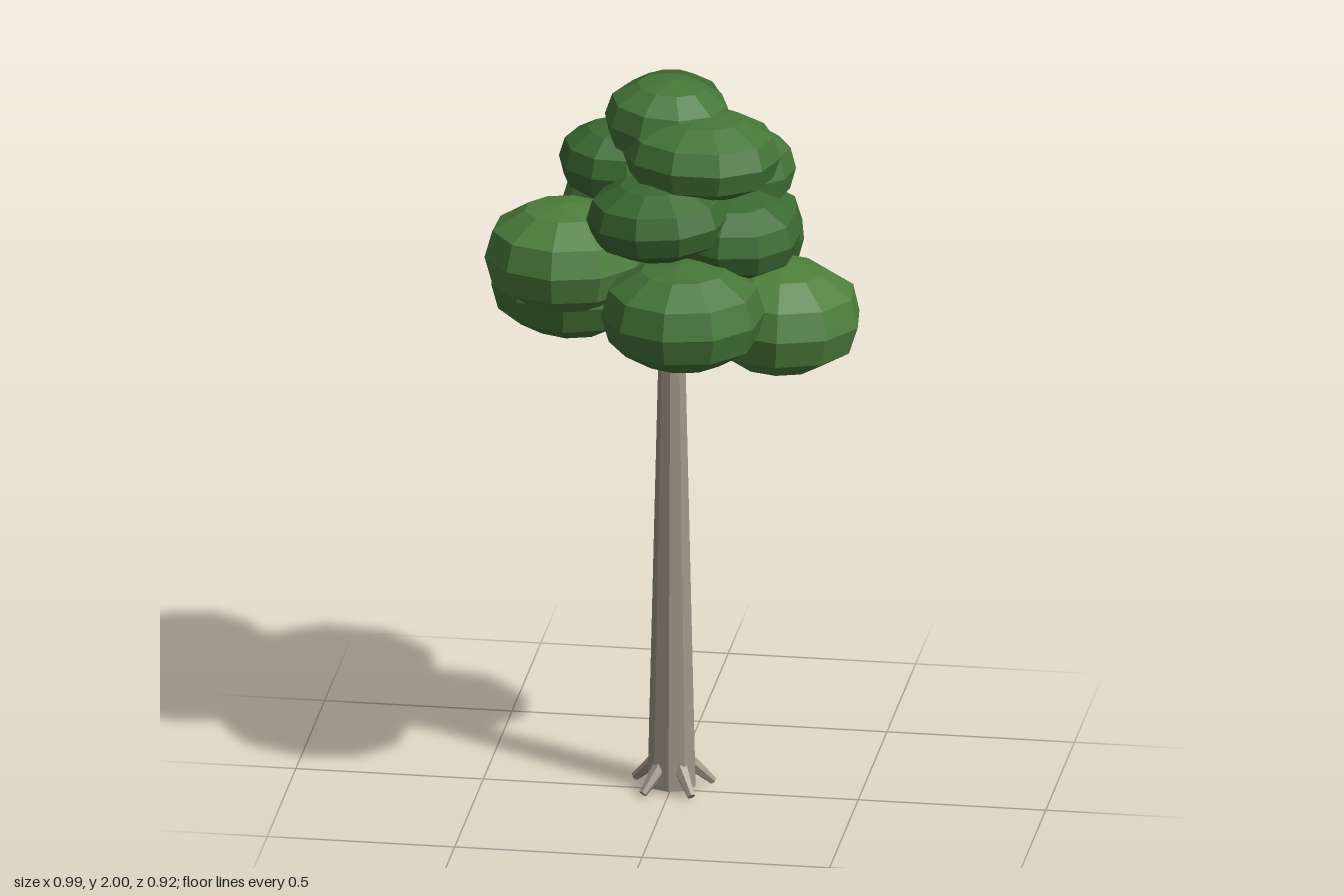
import * as THREE from 'three';

const material = (color) => new THREE.MeshStandardMaterial({ color, flatShading: true });

export function createModel() {
  const tree = new THREE.Group();
  tree.name = 'tree';
  const bark = material(0x9f9688);
  const greens = [material(0x3b6a32), material(0x457638), material(0x4e7f3d)];
  const trunkZ = -0.025;

  const add = (name, geometry, mat) => {
    const mesh = new THREE.Mesh(geometry, mat);
    mesh.name = name;
    tree.add(mesh);
    return mesh;
  };

  // Tapered limb between two points
  const limb = (name, from, to, r0, r1, sides = 6) => {
    const a = new THREE.Vector3(...from), b = new THREE.Vector3(...to);
    const dir = b.clone().sub(a);
    const mesh = add(name, new THREE.CylinderGeometry(r1, r0, dir.length(), sides), bark);
    mesh.position.copy(a).add(b).multiplyScalar(0.5);
    mesh.quaternion.setFromUnitVectors(new THREE.Vector3(0, 1, 0), dir.normalize());
  };

  // Trunk
  limb('trunk', [0, 0.01, trunkZ], [0, 1.5, trunkZ], 0.065, 0.03, 9);

  // Five roots around the base
  for (let i = 0; i < 5; i++) {
    const angle = -Math.PI / 2 + i * Math.PI * 0.4;
    const at = (r, y) => [Math.cos(angle) * r, y, trunkZ + Math.sin(angle) * r];
    limb('root', at(0.04, 0.075), at(0.11, 0.01), 0.022, 0.011);
  }

  // Branches reaching into the lower leaf clumps
  limb('branch', [0, 1.24, trunkZ], [0.24, 1.32, -0.03], 0.02, 0.014);
  limb('branch', [0, 1.25, trunkZ], [-0.22, 1.37, -0.12], 0.022, 0.014);
  limb('branch', [0, 1.29, trunkZ], [0.06, 1.42, 0.2], 0.02, 0.014);
  limb('branch', [0, 1.33, trunkZ], [0.1, 1.46, -0.22], 0.02, 0.014);

  // Seeded jitter
  let seed = 11;
  const jitter = (amount) => {
    seed = (seed * 16807) % 2147483647;
    return (seed / 2147483647 - 0.5) * amount;
  };

  // Leaf clumps: x, y, z, radius, half height, tone
  const clumps = [
    [-0.01, 1.885, -0.025, 0.17, 0.115, 1],
    [0.09, 1.825, 0.05, 0.21, 0.115, 1],
    [-0.01, 1.68, 0.155, 0.19, 0.11, 0],
    [0.07, 1.445, 0.245, 0.217, 0.145, 1],
    [-0.27, 1.53, 0.075, 0.215, 0.145, 2],
    [-0.285, 1.375, -0.135, 0.217, 0.14, 1],
    [0.285, 1.35, -0.03, 0.22, 0.15, 2],
    [0.115, 1.49, -0.255, 0.207, 0.14, 0],
    [-0.14, 1.58, -0.2, 0.18, 0.12, 2],
    [-0.155, 1.75, -0.065, 0.153, 0.105, 0],
    [-0.035, 1.84, -0.225, 0.145, 0.095, 0],
    [0.15, 1.715, -0.145, 0.16, 0.115, 1],
    [0.175, 1.605, 0.05, 0.18, 0.11, 0],
  ];
  clumps.forEach(([x, y, z, radius, height, tone], i) => {
    const geometry = new THREE.SphereGeometry(1, 10, 6);
    // Flatten the crown and base a little for a chunkier outline
    const pos = geometry.attributes.position;
    for (let k = 0; k < pos.count; k++) {
      const v = new THREE.Vector3().fromBufferAttribute(pos, k);
      const swell = 1 + 0.12 * Math.abs(v.y) * (1 - v.y * v.y);
      pos.setXYZ(k, v.x * swell, v.y, v.z * swell);
    }
    geometry.scale(radius, height, radius);
    geometry.rotateY(i * 0.7);
    geometry.rotateZ(jitter(0.12));
    geometry.rotateX(jitter(0.12));
    add('leafClump', geometry, greens[tone]).position.set(x, y, z);
  });

  return tree;
}
